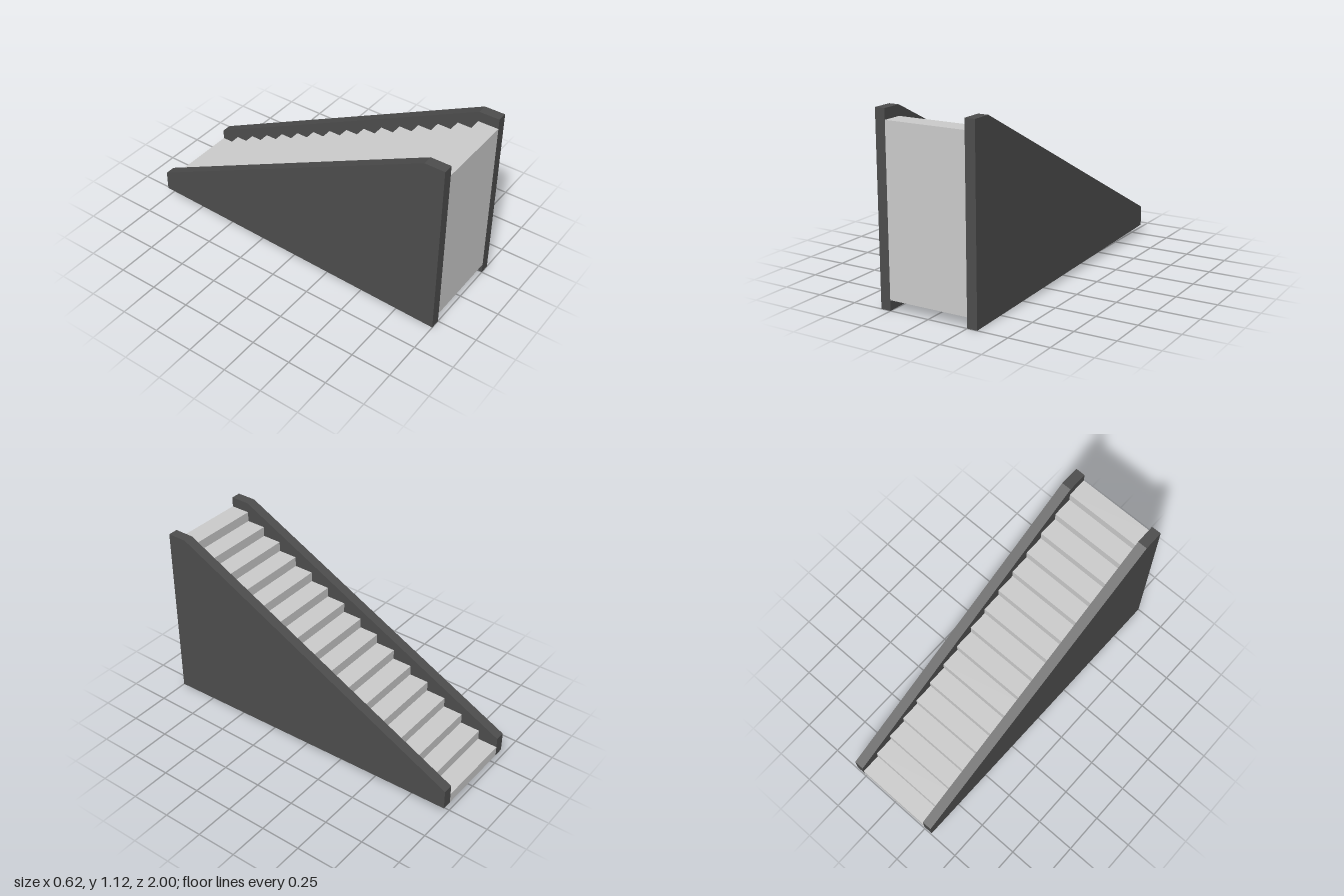
import * as THREE from 'three';

const STEPS = 16, RUN = 0.125, RISE = 0.0625, BASE = 0.0625;
const HALF = 0.25, PANEL = 0.0625;

// Turns a (z, y) outline drawn in the XY plane into the ZY plane
const toSide = (geometry, x) => geometry.rotateY(-Math.PI / 2).translate(x, 0, 0);

// Strip of flat quads spanning the stair width along a (z, y) profile
function ribbon(profile) {
  const pos = [];
  for (let i = 0; i < profile.length - 1; i++) {
    const p = profile[i], q = profile[i + 1];
    const a = [HALF, p.y, p.x], b = [-HALF, p.y, p.x];
    const c = [-HALF, q.y, q.x], d = [HALF, q.y, q.x];
    pos.push(...a, ...b, ...c, ...a, ...c, ...d);
  }
  const g = new THREE.BufferGeometry();
  g.setAttribute('position', new THREE.Float32BufferAttribute(pos, 3));
  g.computeVertexNormals();
  return g;
}

export function createModel() {
  const model = new THREE.Group();
  model.name = 'staircase';
  const stepMat = new THREE.MeshStandardMaterial({ color: 0xcccccc, side: THREE.DoubleSide });
  const panelMat = new THREE.MeshStandardMaterial({ color: 0x4d4d4d });
  const add = (name, geometry, material) => {
    const mesh = new THREE.Mesh(geometry, material);
    mesh.name = name;
    model.add(mesh);
  };

  // Risers and treads climbing towards +z, then the tall end wall; open below
  const profile = [new THREE.Vector2(-1, BASE)];
  for (let i = 0; i < STEPS; i++) {
    const y = BASE + (i + 1) * RISE;
    profile.push(new THREE.Vector2(-1 + i * RUN, y), new THREE.Vector2(-1 + (i + 1) * RUN, y));
  }
  profile.push(new THREE.Vector2(1, BASE));
  add('steps', ribbon(profile), stepMat);

  // Thin stepped walls, just inside the panels
  for (const [name, s] of [['leftStepWall', 1], ['rightStepWall', -1]]) {
    add(name, toSide(new THREE.ShapeGeometry(new THREE.Shape(profile)), s * (HALF - 0.001)), stepMat);
  }

  // Solid side panels
  const outline = new THREE.Shape([
    [1, 0], [1, 1.125], [0.875, 1.125], [-1, 0.1875], [-1, 0.0625],
  ].map(([z, y]) => new THREE.Vector2(z, y)));
  for (const [name, x] of [['leftPanel', HALF + PANEL], ['rightPanel', -HALF]]) {
    add(name, toSide(new THREE.ExtrudeGeometry(outline, { depth: PANEL, bevelEnabled: false }), x), panelMat);
  }
  return model;
}
